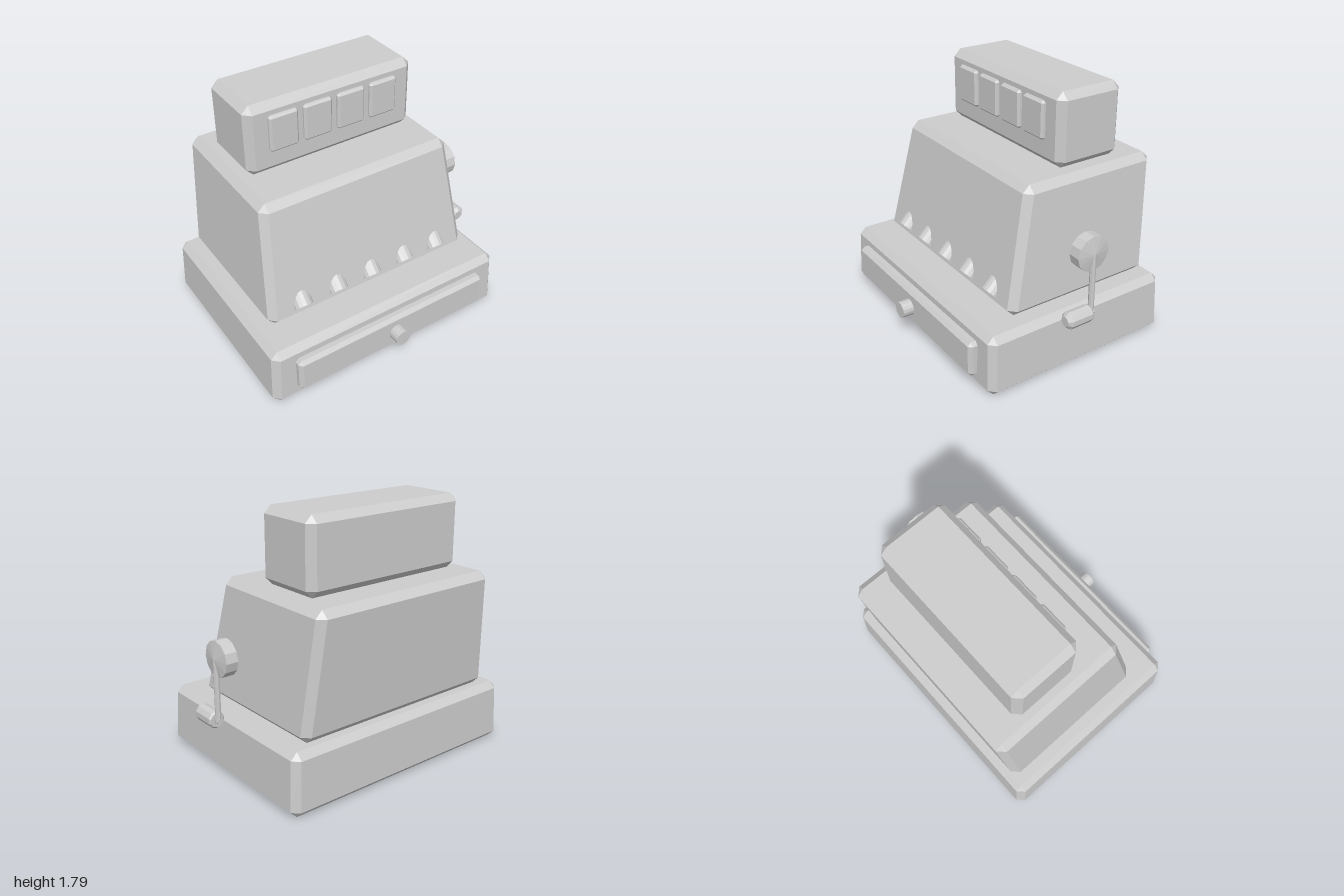
import * as THREE from 'three';
import { ConvexGeometry } from 'three/addons/geometries/ConvexGeometry.js';

const CX = -0.066; // centre line of the cabinet

export function createModel() {
  const model = new THREE.Group();
  model.name = 'cashRegister';
  const grey = new THREE.MeshStandardMaterial({ color: 0xcccccc, flatShading: true });
  grey.name = 'light grey';

  const add = (name, geometry, x = 0, y = 0, z = 0) => {
    const mesh = new THREE.Mesh(geometry, grey);
    mesh.name = name;
    mesh.position.set(x, y, z);
    model.add(mesh);
    return mesh;
  };

  // Tapered box with chamfered edges; ends are { y, w (half width), front, back }
  const chamferedBox = (bottom, top, c) => {
    const points = [];
    for (const [end, inward] of [[bottom, 1], [top, -1]]) {
      for (const sx of [-1, 1]) {
        for (const [z, sz] of [[end.front, 1], [end.back, -1]]) {
          const x = sx * end.w, xi = x - sx * c, zi = z - sz * c, yi = end.y + inward * c;
          points.push(
            new THREE.Vector3(xi, end.y, zi),
            new THREE.Vector3(x, yi, zi),
            new THREE.Vector3(xi, yi, z));
        }
      }
    }
    return new ConvexGeometry(points);
  };
  const straightBox = (y0, y1, w, front, back, c) =>
    chamferedBox({ y: y0, w, front, back }, { y: y1, w, front, back }, c);

  // Turned part: profile of [radius, height] from bottom to top
  const turned = (profile, sides) =>
    new THREE.LatheGeometry(profile.map(([r, h]) => new THREE.Vector2(r, h)), sides);

  // Cabinet
  add('base', chamferedBox(
    { y: 0, w: 0.935, front: 0.657, back: -0.787 },
    { y: 0.43, w: 0.92, front: 0.645, back: -0.777 }, 0.046), CX);
  add('body', chamferedBox(
    { y: 0.43, w: 0.804, front: 0.413, back: -0.723 },
    { y: 1.28, w: 0.734, front: 0.25, back: -0.787 }, 0.05), CX);
  add('display', straightBox(1.28, 1.79, 0.639, -0.066, -0.574, 0.05), CX);

  // Price windows
  for (let i = 0; i < 4; i++) {
    add('displayWindow', straightBox(1.447, 1.708, 0.106, -0.038, -0.09, 0.015),
      CX + (i - 1.5) * 0.254);
  }

  // Drawer with round knob
  add('drawer', straightBox(0.086, 0.342, 0.768, 0.707, 0.6, 0.025), CX);
  add('drawerKnob', new THREE.CylinderGeometry(0.058, 0.058, 0.12, 16), CX, 0.215, 0.727)
    .rotation.x = Math.PI / 2;

  // Round keys sticking out of the sloping front
  const keyLength = 0.2, tilt = -Math.PI / 4;
  const key = new THREE.CylinderGeometry(0.07, 0.07, keyLength, 16);
  key.translate(0, keyLength / 2, 0);
  for (let i = 0; i < 5; i++) {
    add('key', key, CX + (i - 2) * 0.277, 0.507, 0.405).rotation.x = tilt;
  }

  // Crank: hub with shallow cone face, rod and grip
  add('crankHub', turned([[0, 0], [0.123, 0], [0.123, 0.086], [0, 0.106]], 12), 0.848, 0.853, -0.07)
    .rotation.z = -Math.PI / 2;
  add('crankRod', new THREE.CylinderGeometry(0.02, 0.02, 0.455, 8), 0.936, 0.638, -0.07);
  add('crankElbow', new THREE.CylinderGeometry(0.02, 0.02, 0.06, 8), 0.936, 0.43, -0.06)
    .rotation.x = Math.PI / 2;
  add('crankGrip', turned(
    [[0, 0], [0.05, 0], [0.059, 0.012], [0.059, 0.172], [0.035, 0.197], [0, 0.197]], 10),
    0.936, 0.43, -0.057).rotation.x = Math.PI / 2;

  return model;
}
